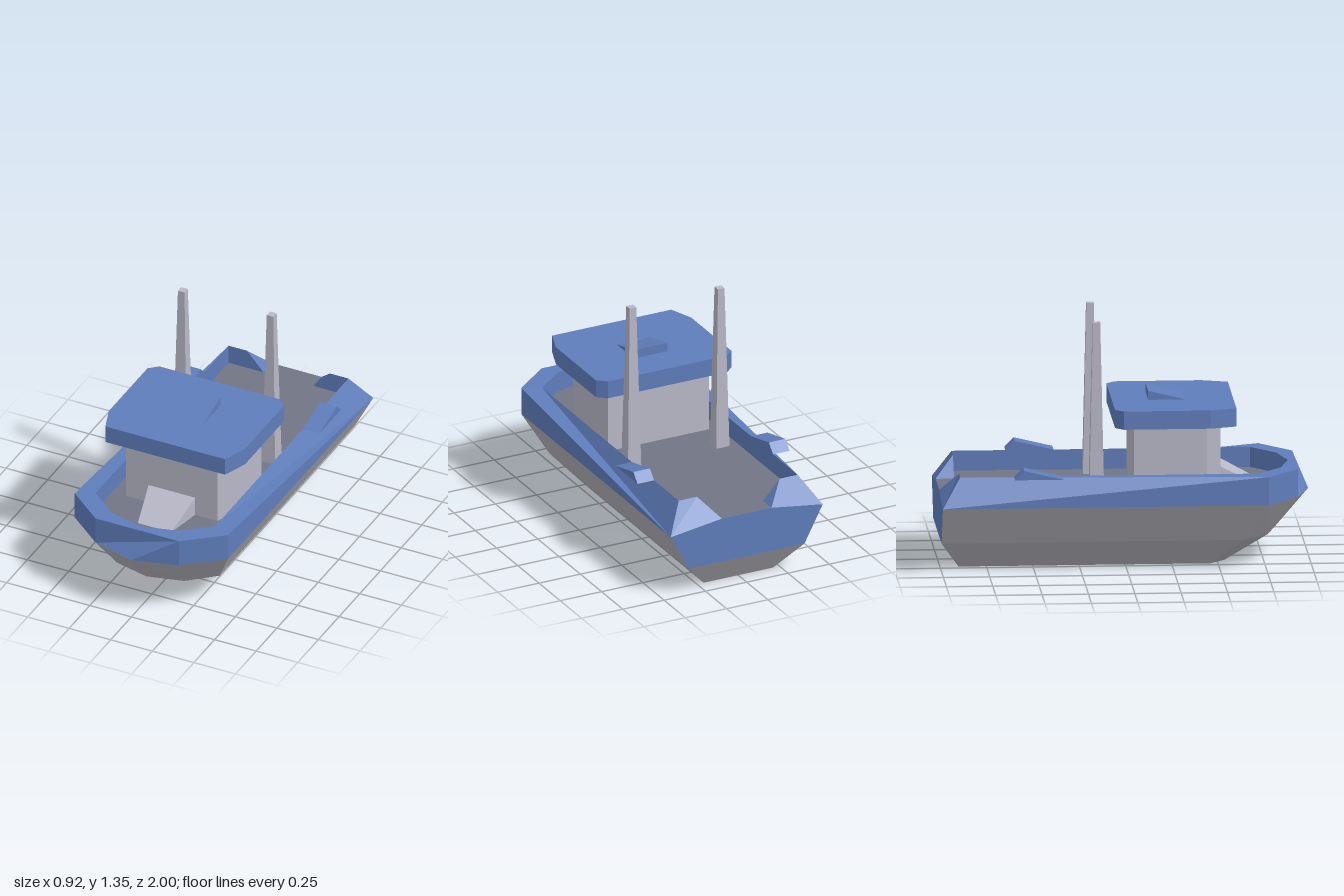
import * as THREE from 'three';

const mat = (name, color) => Object.assign(new THREE.MeshStandardMaterial({ color }), { name });

// Flat-faced geometry from convex polygons; on side -1 points are mirrored in x
class Faces {
  constructor() { this.data = []; }
  add(side, ...pts) {
    const p = side < 0 ? pts.map(([x, y, z]) => [-x, y, z]).reverse() : pts;
    for (let i = 1; i < p.length - 1; i++) this.data.push(...p[0], ...p[i], ...p[i + 1]);
  }
  geometry() {
    const g = new THREE.BufferGeometry();
    g.setAttribute('position', new THREE.Float32BufferAttribute(this.data, 3));
    g.computeVertexNormals();
    return g;
  }
}

const mirror = ([x, y, z]) => [-x, y, z];
const loop = half => [...half, ...half.filter(p => p[0] > 0).reverse().map(mirror)];

// Upright prism from half of a plan outline (x, z)
function prism(half, y0, y1) {
  const outline = loop(half.map(([x, z]) => [x, 0, z]));
  const shape = new THREE.Shape(outline.map(p => new THREE.Vector2(p[0], -p[2])));
  const g = new THREE.ExtrudeGeometry(shape, { depth: y1 - y0, bevelEnabled: false });
  return g.rotateX(-Math.PI / 2).translate(0, y0, 0);
}

// Wedge from a side profile (z, y), centred on x
function wedge(profile, width, x = 0) {
  const shape = new THREE.Shape(profile.map(([z, y]) => new THREE.Vector2(z, y)));
  const g = new THREE.ExtrudeGeometry(shape, { depth: width, bevelEnabled: false });
  return g.translate(0, 0, -width / 2).rotateY(-Math.PI / 2).translate(x, 0, 0);
}

export function createModel() {
  const boat = new THREE.Group();
  boat.name = 'boat';
  const blue = mat('blue paint', 0x5f7dbb);
  const hullGrey = mat('hull grey', 0xb2b0b8);
  const lightGrey = mat('light grey', 0xb8b8c8);
  const deckGrey = mat('deck grey', 0x707585);
  const part = (name, geometry, material) => {
    const m = new THREE.Mesh(geometry, material);
    m.name = name;
    boat.add(m);
    return m;
  };

  // Half outlines of the hull, stern to bow
  const keel = [[0.21, 0, -0.9], [0.21, 0, 0.46], [0.12, 0, 0.54], [0, 0, 0.57]];
  const chine = [[0.35, 0.155, -1], [0.35, 0.155, 0.64], [0.2, 0.155, 0.77], [0, 0.155, 0.82]];
  const belt = [[0.46, 0.365, -1], [0.46, 0.365, 0.76], [0.25, 0.365, 0.93], [0, 0.365, 1]];

  const hull = new Faces();
  for (const side of [1, -1])
    for (const [a, b] of [[keel, chine], [chine, belt]])
      for (let i = 0; i < 3; i++) hull.add(side, a[i], b[i], b[i + 1], a[i + 1]);
  hull.add(1, ...loop(keel));
  hull.add(1, mirror(chine[0]), chine[0], keel[0], mirror(keel[0]));
  part('hull', hull.geometry(), hullGrey);

  // Bulwark corners
  const top = 0.52, deckY = 0.41;
  const [stern, beltSide, beltBow, tip] = belt;
  const outSide = [0.46, top, 0.76], outBow = [0.25, top, 0.93];
  const inner = [[0.36, top, -0.9], [0.36, top, 0.71], [0.2, top, 0.84], [0, top, 0.89]];
  const [inStern, inSide, inBow, inTip] = inner;
  const lower = ([x, , z]) => [x, deckY, z];
  const gateTop = [0.25, top, -0.9], gateIn = [0.15, deckY, -0.9], gateOut = [0.15, deckY, -1];

  const bulwark = new Faces();
  for (const s of [1, -1]) {
    // outer sides and rim
    bulwark.add(s, stern, outSide, beltSide);
    bulwark.add(s, beltSide, outSide, outBow, beltBow);
    bulwark.add(s, outSide, inSide, inBow, outBow);
    bulwark.add(s, outBow, inBow, inTip, [0, top, 0.93]);
    // inner walls
    for (let i = 0; i < 3; i++)
      bulwark.add(s, lower(inner[i]), lower(inner[i + 1]), inner[i + 1], inner[i]);
    // stern corners
    bulwark.add(s, gateIn, lower(inStern), inStern, gateTop);
    bulwark.add(s, stern, gateOut, gateTop);
    bulwark.add(s, stern, gateTop, inStern);
    bulwark.add(s, gateOut, gateIn, gateTop);
  }
  // long side facets fold along a different diagonal on each side
  bulwark.add(1, stern, inSide, outSide);
  bulwark.add(1, stern, inStern, inSide);
  bulwark.add(-1, stern, inStern, outSide);
  bulwark.add(-1, inStern, inSide, outSide);
  // bow panels
  bulwark.add(1, mirror(beltBow), outBow, mirror(outBow));
  bulwark.add(1, mirror(beltBow), tip, outBow);
  bulwark.add(1, tip, beltBow, outBow);
  part('bulwark', bulwark.geometry(), blue);

  const transom = new Faces();
  transom.add(1, mirror(stern), mirror(gateOut), gateOut, stern, chine[0], mirror(chine[0]));
  part('transom', transom.geometry(), blue);

  // Deck
  const deck = new Faces();
  const deckHalf = inner.map(lower);
  deck.add(1, ...loop(deckHalf).reverse());
  deck.add(1, mirror(gateOut), mirror(gateIn), gateIn, gateOut);
  part('deck', deck.geometry(), deckGrey);

  // Cabin and roof
  part('cabin', prism([[0.305, 0.04], [0.305, 0.435], [0.275, 0.51]], deckY, 0.78), lightGrey);
  part('roof', prism([[0.36, -0.065], [0.41, -0.02], [0.41, 0.45], [0.36, 0.59]], 0.78, 0.88), blue);
  part('roofHatch', wedge([[0.33, 0.88], [0.13, 0.88], [0.13, 0.93]], 0.205), blue);

  // Tapered ramp in front of the cabin
  const ramp = wedge([[0.51, deckY], [0.72, deckY], [0.51, 0.52]], 0.28);
  const pos = ramp.attributes.position;
  for (let i = 0; i < pos.count; i++) if (pos.getZ(i) > 0.7) pos.setX(i, pos.getX(i) * 0.72);
  ramp.computeVertexNormals();
  part('foredeckRamp', ramp, lightGrey);

  // Masts and side chocks
  for (const s of [1, -1]) {
    const h = 1.345 - deckY;
    const mast = new THREE.CylinderGeometry(0.02 * Math.SQRT2, 0.04 * Math.SQRT2, h, 4)
      .rotateY(Math.PI / 4).toNonIndexed();
    mast.computeVertexNormals();
    part('mast', mast, lightGrey).position.set(s * 0.267, deckY + h / 2, -0.16);
    part('sideChock', wedge([[-0.35, top], [-0.61, top], [-0.56, 0.57]], 0.1, s * 0.41), blue);
  }
  return boat;
}
